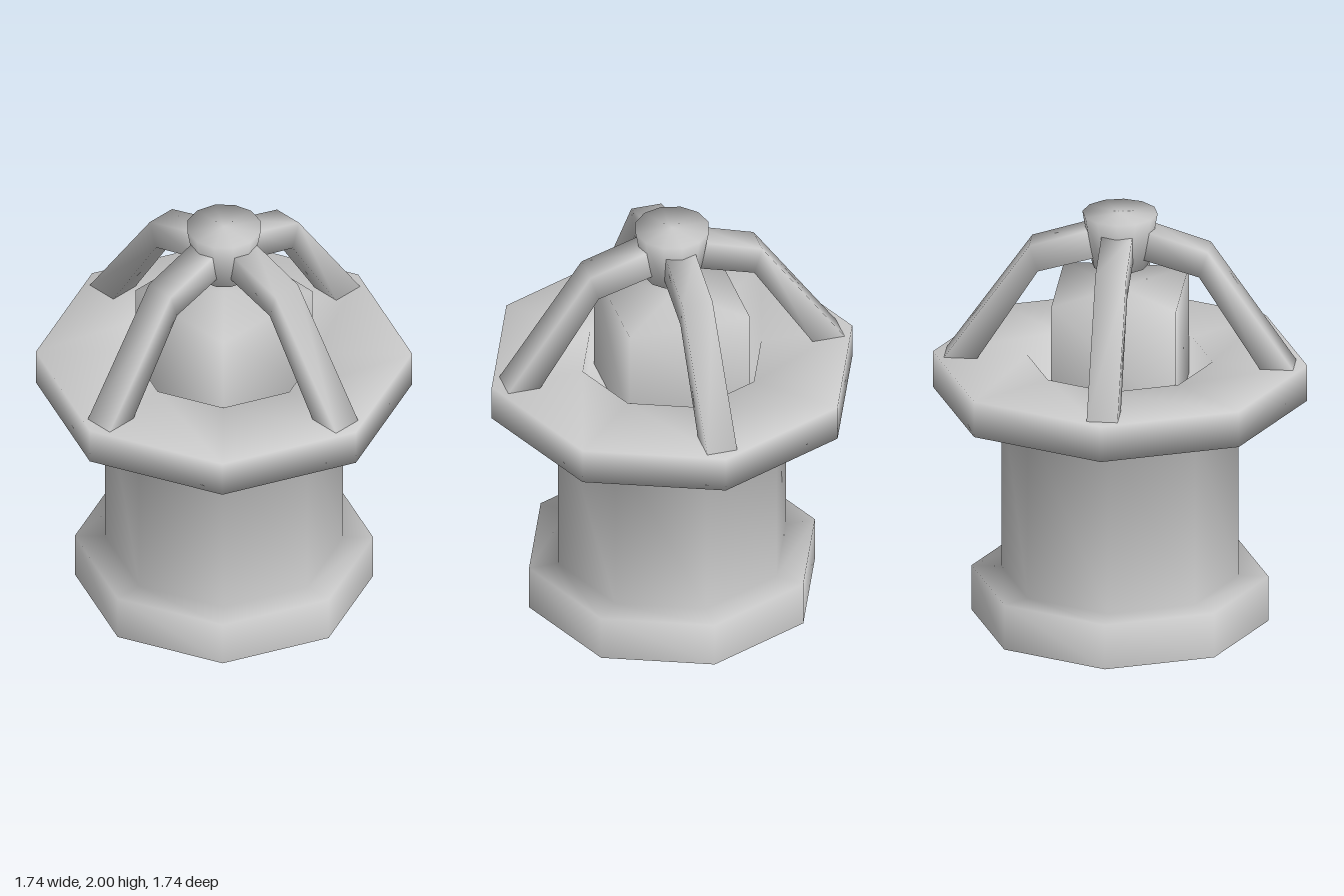
import * as THREE from 'three';

const material = new THREE.MeshStandardMaterial({ color: 0xcccccc });

// Faceted turned solid with smoothed normals; profile runs from bottom to top
function turned(name, profile, sides, start = 0) {
  const points = profile.map(([r, y]) => new THREE.Vector2(r, y));
  const mesh = new THREE.Mesh(new THREE.LatheGeometry(points, sides, start), material);
  mesh.name = name;
  return mesh;
}

// Bent square bar: each section gives its outer and inner edge as [x, y]
function barGeometry(sections, halfWidth) {
  const positions = [], index = [];
  for (const [[ox, oy], [ix, iy]] of sections) {
    positions.push(ox, oy, halfWidth, ox, oy, -halfWidth, ix, iy, -halfWidth, ix, iy, halfWidth);
  }
  for (let s = 0; s < sections.length - 1; s++) {
    for (let k = 0; k < 4; k++) {
      const a = s * 4 + k, b = s * 4 + (k + 1) % 4;
      index.push(a, b, b + 4, a, b + 4, a + 4);
    }
  }
  const e = (sections.length - 1) * 4;
  index.push(0, 2, 1, 0, 3, 2, e, e + 1, e + 2, e, e + 2, e + 3);
  const geometry = new THREE.BufferGeometry();
  geometry.setAttribute('position', new THREE.Float32BufferAttribute(positions, 3));
  geometry.setIndex(index);
  geometry.computeVertexNormals();
  return geometry;
}

export function createModel() {
  const model = new THREE.Group();
  model.name = 'cappedPost';

  // Foot, column and wide collar with a recess, all eight-sided
  model.add(turned('body', [
    [0.69, 0], [0.69, 0.22], [0.55, 0.22], [0.55, 1.1],
    [0.87, 1.1], [0.87, 1.275], [0.43, 1.275], [0.43, 1.1], [0, 1.1],
  ], 8));
  model.add(turned('underside', [[0, 0], [0.69, 0]], 8));

  // Square block standing in the recess
  model.add(turned('block', [[0.41, 1.1], [0.41, 1.63], [0, 1.63]], 4, Math.PI / 4));

  // Tapered hub where the arms meet
  model.add(turned('hub', [[0, 1.745], [0.13, 1.745], [0.175, 2], [0, 2]], 12));

  // Four bent arms from the collar up to the hub
  const arm = barGeometry([
    [[0.815, 1.27], [0.66, 1.27]],
    [[0.415, 1.845], [0.375, 1.72]],
    [[0.13, 1.935], [0.1, 1.8]],
  ], 0.072);
  for (let i = 0; i < 4; i++) {
    const mesh = new THREE.Mesh(arm, material);
    mesh.name = 'arm' + (i + 1);
    mesh.rotation.y = i * Math.PI / 2;
    model.add(mesh);
  }
  return model;
}
